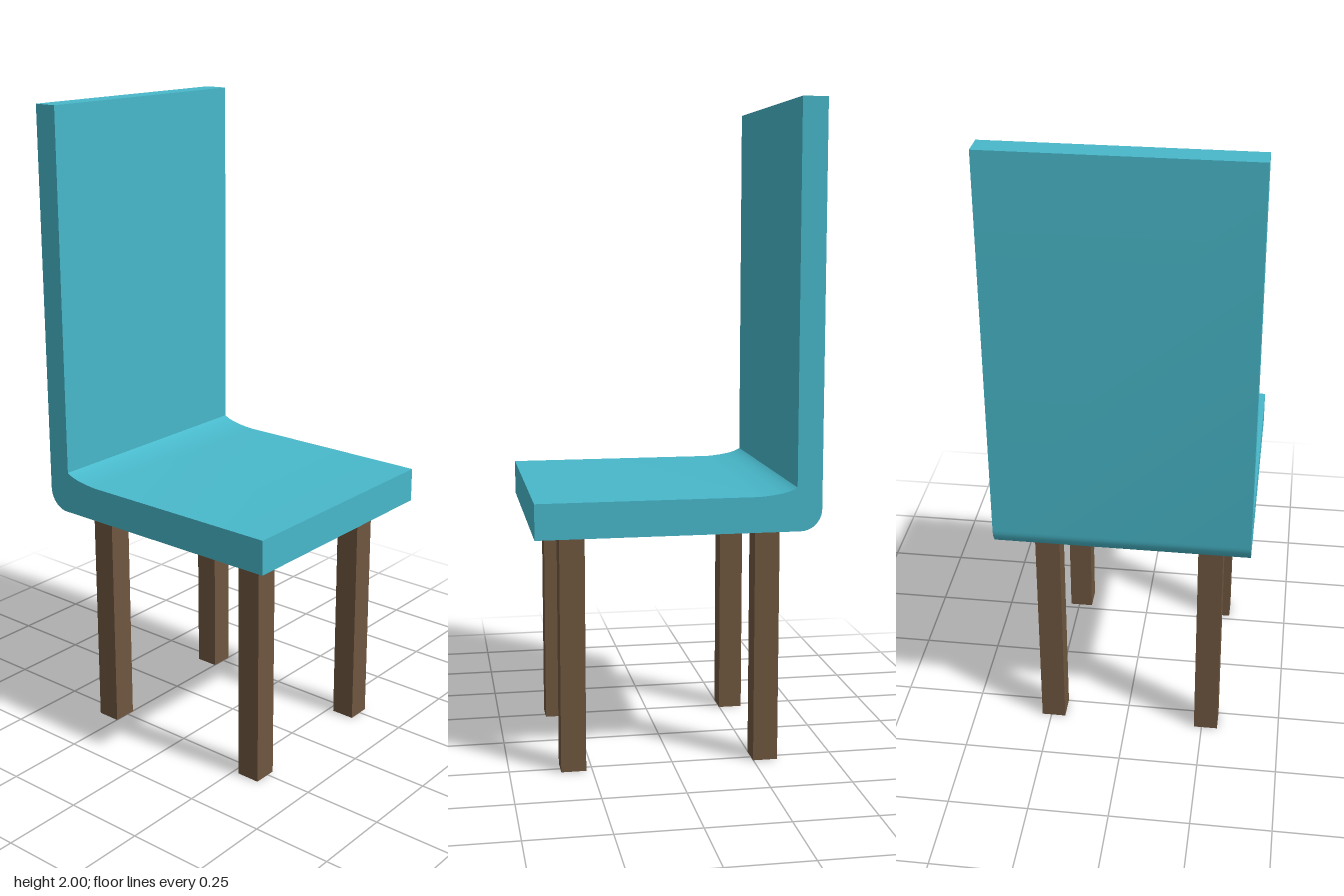
import * as THREE from 'three';
import { toCreasedNormals } from 'three/addons/utils/BufferGeometryUtils.js';

export function createModel() {
  const group = new THREE.Group();
  const fabric = new THREE.MeshStandardMaterial({ color: 0x48b8ca });
  const wood = new THREE.MeshStandardMaterial({ color: 0x6e563e });

  // Seat and backrest: one L-shaped side profile (z, y), extruded across the width
  const width = 0.774;
  const profile = new THREE.Shape();
  profile.moveTo(0.426, 0.74);
  profile.lineTo(0.426, 0.847);
  profile.lineTo(-0.235, 0.847);
  profile.quadraticCurveTo(-0.325, 0.853, -0.35, 0.872);
  profile.lineTo(-0.35, 2);
  profile.lineTo(-0.426, 2);
  profile.lineTo(-0.426, 0.805);
  profile.bezierCurveTo(-0.426, 0.769, -0.397, 0.74, -0.361, 0.74);
  profile.closePath();
  const shell = new THREE.ExtrudeGeometry(profile, { depth: width, bevelEnabled: false, curveSegments: 10 });
  shell.translate(0, 0, -width / 2);
  shell.rotateY(-Math.PI / 2);
  const seat = new THREE.Mesh(toCreasedNormals(shell, 0.5), fabric);
  seat.name = 'seatAndBackrest';
  group.add(seat);

  // Four square legs
  const legGeometry = new THREE.BoxGeometry(0.076, 0.74, 0.076);
  for (const [side, x] of [['Right', -0.263], ['Left', 0.242]]) {
    for (const [end, z] of [['front', 0.307], ['back', -0.287]]) {
      const leg = new THREE.Mesh(legGeometry, wood);
      leg.name = `${end}${side}Leg`;
      leg.position.set(x, 0.37, z);
      group.add(leg);
    }
  }
  return group;
}
